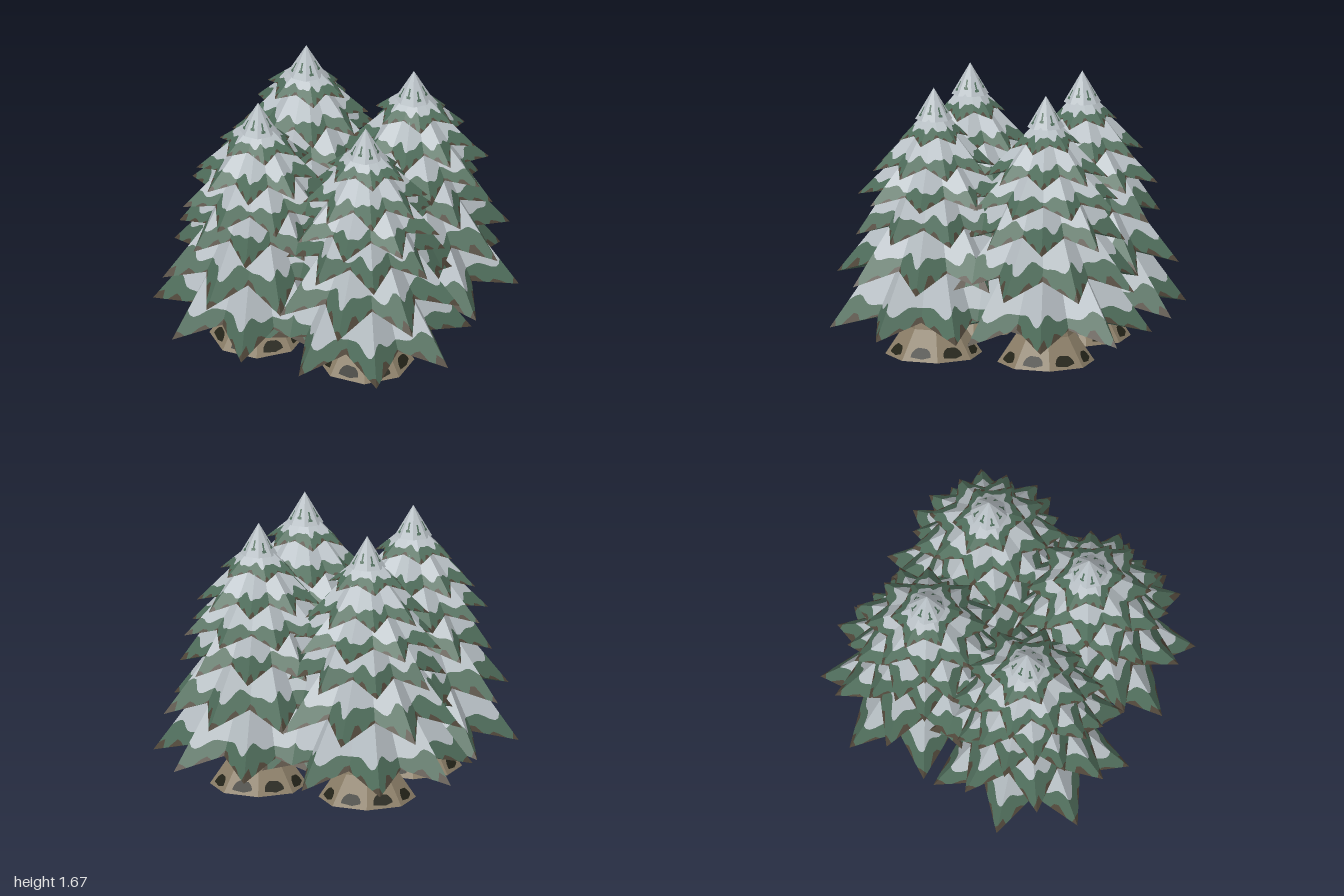
import * as THREE from 'three';

const mat = (name, color) => {
  const m = new THREE.MeshStandardMaterial({ color });
  m.name = name;
  return m;
};

const SNOW = mat('snow', 0xb9c1c6);
const GREEN = mat('needleGreen', 0x506e5c);
const TWIG = mat('twigBrown', 0x50473a);
const BARK = mat('bark', 0x8c7f68);
const HOLLOW = mat('hollowDark', 0x25251a);
const BASE = mat('trunkUnderside', 0x74675a);

// Star-shaped skirts: tip radius, tip height, apex height, green band height,
// first tip angle in degrees, number of tips, notch depth ratio, depth squash
const TIERS = [
  [0.655, 0.19, 1.107, 0.17, 15, 8, 0.64, 1],
  [0.605, 0.49, 1.26, 0.18, 37.5, 8, 0.65, 1],
  [0.490, 0.77, 1.49, 0.14, 15, 8, 0.68, 1],
  [0.475, 0.985, 1.47, 0.105, 37.5, 8, 0.68, 1],
  [0.385, 1.165, 1.56, 0.105, 15, 8, 0.69, 1],
  [0.260, 1.355, 1.58, 0.08, 0, 6, 0.72, 0.82],
];

const mesh = (name, geometry, material) => {
  const m = new THREE.Mesh(geometry, material);
  m.name = name;
  return m;
};

// One skirt of branches, split along its slope into snow, needles and twig ends,
// and closed below by an underside
function branchTier([tipR, tipY, apexY, band, start, tips, notch, squash], spin, index) {
  const COLS = 8;
  const halves = tips * 2;
  const notchY = tipY + band * 0.55;
  const ray = (i, r, y) => {
    const a = spin * (THREE.MathUtils.degToRad(start) + (i * Math.PI * 2) / halves);
    return new THREE.Vector3(r * Math.cos(a), y, r * Math.sin(a) * squash);
  };
  const corner = (i) => (i % 2 ? ray(i, tipR * notch, notchY) : ray(i, tipR, tipY));
  const edge = (i, f) => corner(i).lerp(corner(i + 1), f);
  const inner = (i, f) => ray(i, tipR * 0.2, notchY).lerp(ray(i + 1, tipR * 0.2, notchY), f);
  const slope = (i, f, t) => new THREE.Vector3(0, apexY, 0).lerp(edge(i, f), t);
  const below = (i, f, t) => edge(i, f).lerp(inner(i, f), t);

  // Wavy snow line and tongues of twigs, as fractions down the slope
  const snowLine = (i, f) => {
    const u = i + f;
    const wave = 0.14 * Math.sin(u * Math.PI * 1.5 + index) + 0.1 * Math.sin(u * Math.PI * 2.5);
    return Math.min(0.94, (apexY - tipY - band * (1 + wave)) / (apexY - edge(i, f).y));
  };
  const twigLine = (i, f) => {
    const u = i + f;
    const s = Math.max(0, Math.sin(u * Math.PI * 4 + 0.8) + 0.3 * Math.sin(u * Math.PI * 1.5));
    return 1 - s * 0.4 * (1 - snowLine(i, f));
  };
  const at = (v) => () => v;
  const bands = [
    ['snowCover', SNOW, slope, at(0), snowLine],
    ['needles', GREEN, slope, snowLine, twigLine],
    ['twigEnds', TWIG, slope, twigLine, at(1)],
    ['needlesBelow', GREEN, below, at(0), at(0.3)],
    ['snowBelow', SNOW, below, at(0.3), at(1)],
  ];

  const group = new THREE.Group();
  group.name = `branchTier${index + 1}`;
  for (const [name, material, surface, from, to] of bands) {
    const pos = [];
    const tri = (a, b, c) => {
      if (new THREE.Triangle(a, b, c).getArea() < 1e-7) return;
      for (const p of spin > 0 ? [a, b, c] : [a, c, b]) pos.push(p.x, p.y, p.z);
    };
    for (let i = 0; i < halves; i++) {
      for (let k = 0; k < COLS; k++) {
        const f0 = k / COLS, f1 = (k + 1) / COLS;
        const a = surface(i, f0, from(i, f0));
        const b = surface(i, f1, from(i, f1));
        const c = surface(i, f1, to(i, f1));
        const d = surface(i, f0, to(i, f0));
        tri(a, b, c);
        tri(a, c, d);
      }
    }
    const g = new THREE.BufferGeometry();
    g.setAttribute('position', new THREE.Float32BufferAttribute(pos, 3));
    g.computeVertexNormals();
    group.add(mesh(name, g, material));
  }
  return group;
}

// Flat plate laid on a sloping facet of an eight-sided form
function facetPlate(name, geometry, material, k, radius, y, lean) {
  const holder = new THREE.Group();
  holder.name = name;
  holder.rotation.y = (k * Math.PI) / 4;
  const plate = mesh(name + 'Plate', geometry, material);
  plate.position.set(0, y, radius);
  plate.rotation.x = -lean;
  holder.add(plate);
  return holder;
}

// Uneven rounded arch, wide at the foot
function archShape(w, h) {
  const s = new THREE.Shape();
  s.moveTo(-w, 0);
  s.quadraticCurveTo(-w, h * 0.7, -w * 0.35, h);
  s.lineTo(w * 0.5, h * 0.92);
  s.quadraticCurveTo(w, h * 0.6, w, h * 0.1);
  s.lineTo(w * 0.2, -h * 0.15);
  return new THREE.ShapeGeometry(s, 5);
}

function trunk() {
  const group = new THREE.Group();
  group.name = 'trunk';
  // Flared eight-sided stem, one cylinder section per pair of profile points
  const profile = [[0.3, 0], [0.18, 0.18], [0.152, 0.33], [0.14, 0.5]];
  for (let i = 0; i < 3; i++) {
    const [r0, y0] = profile[i], [r1, y1] = profile[i + 1];
    const g = new THREE.CylinderGeometry(r1, r0, y1 - y0, 8, 1, true).toNonIndexed();
    g.computeVertexNormals();
    g.rotateY(Math.PI / 8);
    g.translate(0, (y0 + y1) / 2, 0);
    group.add(mesh('stemSection', g, BARK));
  }
  const foot = new THREE.CircleGeometry(0.3, 8);
  foot.rotateZ(Math.PI / 8);
  foot.rotateX(Math.PI / 2);
  group.add(mesh('underside', foot, BASE));

  // Root hollows low down, dark streaks hanging under the branches
  const hollow = archShape(0.064, 0.066);
  const longStreak = archShape(0.034, 0.15).rotateZ(Math.PI);
  const shortStreak = archShape(0.05, 0.11).rotateZ(Math.PI);
  for (let k = 0; k < 8; k++) {
    group.add(facetPlate('rootHollow', hollow, HOLLOW, k, 0.265, 0.024, 0.552));
    group.add(facetPlate('barkStreak', k % 2 ? longStreak : shortStreak, TWIG, k, 0.145, 0.33, 0.171));
  }
  return group;
}

function crown() {
  const group = new THREE.Group();
  group.name = 'crown';
  // Pointed snow cap
  const cap = new THREE.ConeGeometry(0.115, 0.195, 8, 1, true).toNonIndexed();
  cap.computeVertexNormals();
  cap.rotateY(Math.PI / 8);
  cap.translate(0, 1.5775, 0);
  group.add(mesh('snowCap', cap, SNOW));
  // Needles showing through the snow
  const pitch = (0.115 * Math.cos(Math.PI / 8)) / 0.195;
  const fleck = new THREE.PlaneGeometry(0.01, 0.05);
  const spot = new THREE.PlaneGeometry(0.026, 0.016);
  for (let k = 0; k < 8; k++) {
    const y = 1.555 - (k % 2) * 0.015;
    for (const [name, shape, h] of [['needleFleck', fleck, y], ['needleSpot', spot, y - 0.028]]) {
      group.add(facetPlate(name, shape, GREEN, k, (1.675 - h) * pitch + 0.003, h, Math.atan(pitch)));
    }
  }
  return group;
}

function tree(spin) {
  const group = new THREE.Group();
  group.add(trunk(), crown());
  TIERS.forEach((tier, i) => group.add(branchTier(tier, spin, i)));
  return group;
}

export function createModel() {
  const model = new THREE.Group();
  model.name = 'snowyTrees';
  // Four trees, mirrored across both axes
  for (const sx of [-1, 1]) {
    for (const sz of [-1, 1]) {
      const t = tree(sx * sz);
      t.name = `${sz > 0 ? 'front' : 'back'}${sx > 0 ? 'Left' : 'Right'}Tree`;
      t.position.set(sx * 0.363, 0, sz * 0.363);
      model.add(t);
    }
  }
  return model;
}
